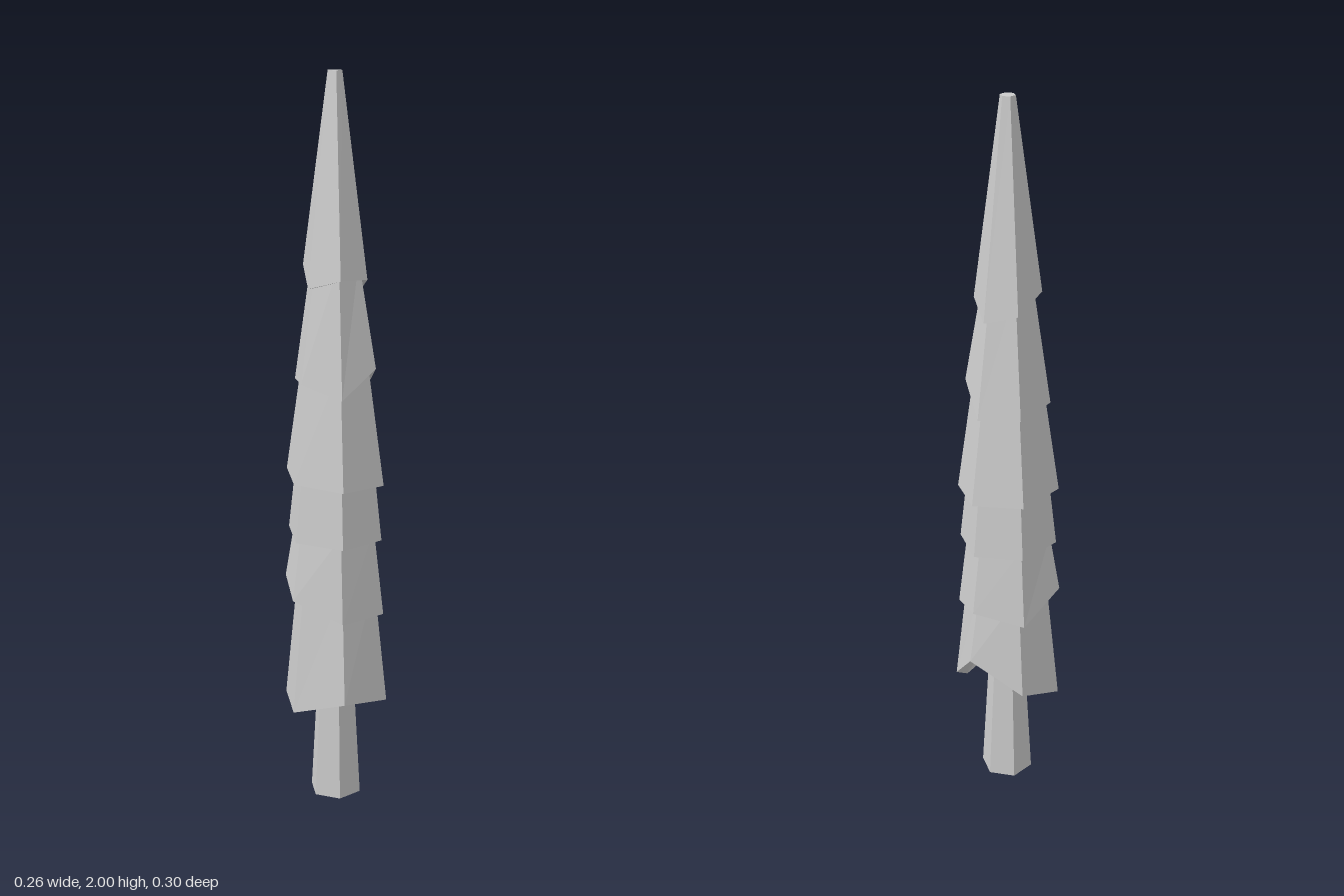
import * as THREE from 'three';

const SIDES = 6;

// Six-sided ring, first corner facing +z; y is a number or one height per corner
function ring(radius, y, cx = 0) {
  return Array.from({ length: SIDES }, (_, k) => {
    const a = (k / SIDES) * Math.PI * 2;
    const h = Array.isArray(y) ? y[k] : y;
    return new THREE.Vector3(cx + Math.sin(a) * radius, h, Math.cos(a) * radius);
  });
}

// Flat-shaded skin from ring to ring, listed bottom to top for outward faces
function loft(name, rings, material, capStart, capEnd) {
  const pos = [];
  const tri = (...pts) => pts.forEach((p) => pos.push(p.x, p.y, p.z));
  for (let r = 0; r < rings.length - 1; r++) {
    for (let k = 0; k < SIDES; k++) {
      const n = (k + 1) % SIDES;
      const a = rings[r][k], b = rings[r][n], c = rings[r + 1][n], d = rings[r + 1][k];
      tri(a, b, c);
      tri(a, c, d);
    }
  }
  const last = rings[rings.length - 1];
  for (let k = 1; k < SIDES - 1; k++) {
    if (capStart) tri(rings[0][0], rings[0][k + 1], rings[0][k]);
    if (capEnd) tri(last[0], last[k], last[k + 1]);
  }
  const geo = new THREE.BufferGeometry();
  geo.setAttribute('position', new THREE.Float32BufferAttribute(pos, 3));
  geo.computeVertexNormals();
  const mesh = new THREE.Mesh(geo, material);
  mesh.name = name;
  return mesh;
}

export function createModel() {
  const group = new THREE.Group();
  group.name = 'coniferTree';
  const material = new THREE.MeshStandardMaterial({
    color: 0xcccccc, flatShading: true, side: THREE.DoubleSide,
  });

  // Tapered trunk
  group.add(loft('trunk', [ring(0.073, 0), ring(0.055, 0.32), ring(0.045, 0.62)], material, true, true));

  // Foliage skirts, bottom to top: ragged hem heights run round from the front corner
  const tiers = [
    { top: 0.64, rTop: 0.112, r: 0.15, rim: 0.118, cx: 0, hem: [0.275, 0.32, 0.295, 0.43, 0.335, 0.275] },
    { top: 0.79, rTop: 0.115, r: 0.144, rim: 0.114, cx: -0.007, hem: [0.6, 0.55, 0.547, 0.587, 0.562, 0.625] },
    { top: 0.95, rTop: 0.114, r: 0.135, rim: 0.115, cx: -0.004, hem: [0.765, 0.76, 0.76, 0.763, 0.768, 0.77] },
    { top: 1.25, rTop: 0.093, r: 0.14, rim: 0.113, cx: -0.004, hem: [0.93, 0.92, 0.915, 0.922, 0.93, 0.937] },
    { top: 1.52, rTop: 0.066, r: 0.115, rim: 0.093, cx: -0.003, hem: [1.2, 1.165, 1.235, 1.165, 1.175, 1.19] },
    { top: 2, rTop: 0.02, r: 0.09, rim: 0.068, cx: -0.003, hem: [1.45, 1.475, 1.47, 1.43, 1.455, 1.5] },
  ];
  tiers.forEach((t, i) => {
    // Hollow inside, thick rim, then the outer slope with a closed top
    const rings = [
      ring(t.rTop * 0.45, t.top - 0.1, t.cx),
      ring(t.rim, t.hem, t.cx),
      ring(t.r, t.hem, t.cx),
      ring(t.rTop, t.top, t.cx),
    ];
    group.add(loft(`foliageTier${i + 1}`, rings, material, false, true));
  });
  return group;
}
